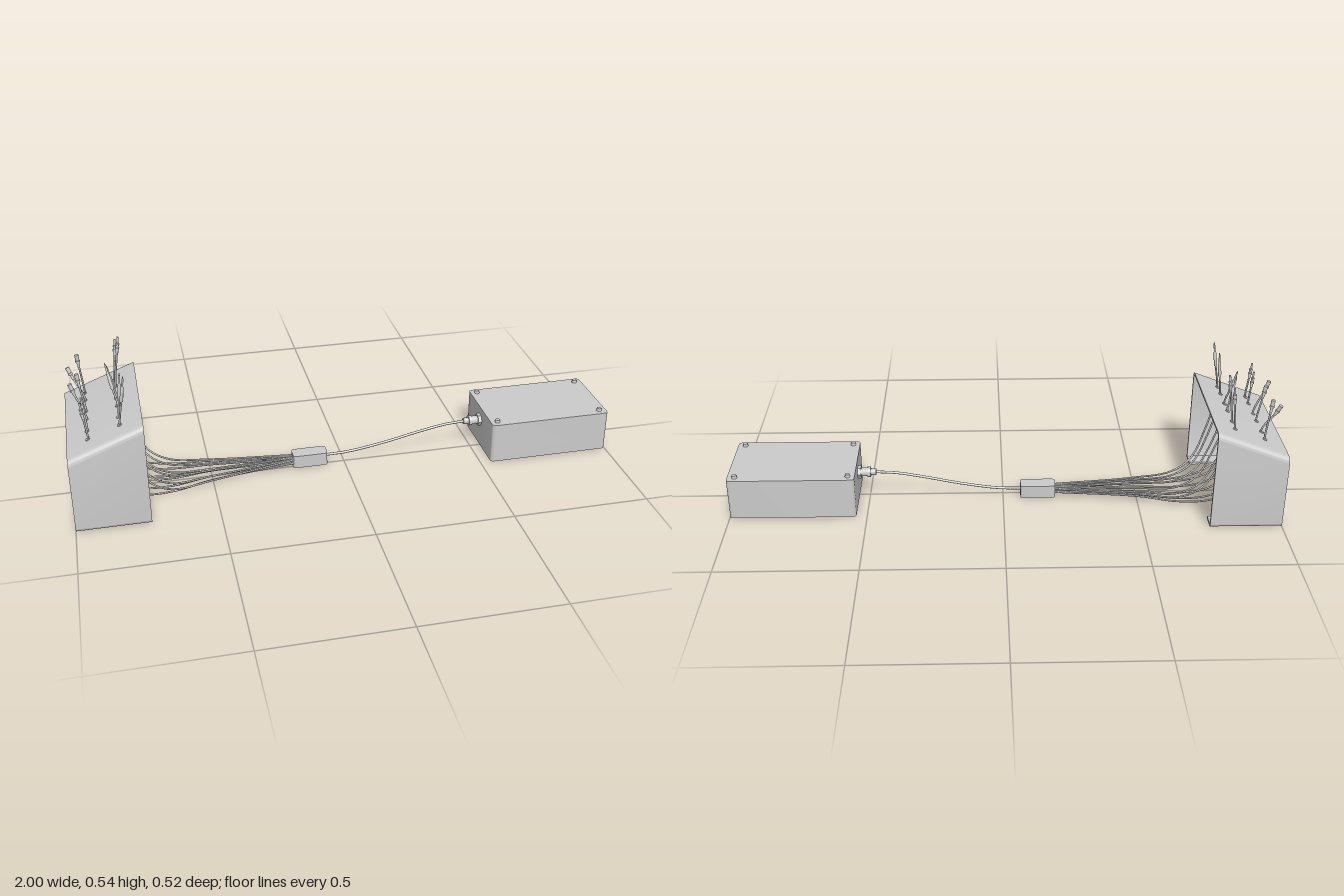
import * as THREE from 'three';
import { toCreasedNormals } from 'three/addons/utils/BufferGeometryUtils.js';

const mat = new THREE.MeshStandardMaterial({ color: 0xcccccc });
const V = (x, y, z) => new THREE.Vector3(x, y, z);
const UP = V(0, 1, 0);
const SLOPE = 0.385; // rise of the panel top along x
const MID_Z = -0.013; // centre line of box, cable and splitter
const topY = x => 0.38 + SLOPE * (x + 0.74);

function add(parent, name, geometry) {
  const m = new THREE.Mesh(geometry, mat);
  m.name = name;
  parent.add(m);
  return m;
}

// Closed shape whose corners [x, y, radius] are rounded
function roundedShape(corners) {
  const s = new THREE.Shape(), n = corners.length;
  corners.forEach(([x, y, r], i) => {
    const p = new THREE.Vector2(x, y);
    const toward = ([a, b]) => new THREE.Vector2(a, b).sub(p).setLength(r).add(p);
    const a = toward(corners[(i + n - 1) % n]), b = toward(corners[(i + 1) % n]);
    if (i) s.lineTo(a.x, a.y); else s.moveTo(a.x, a.y);
    if (r) s.quadraticCurveTo(x, y, b.x, b.y);
  });
  s.closePath();
  return s;
}

const extrude = (shape, depth) =>
  new THREE.ExtrudeGeometry(shape, { depth, bevelEnabled: false, curveSegments: 8 });

// Upright prism over a rounded rectangle
function prism(w, d, h, r) {
  const x = w / 2, y = d / 2;
  const g = extrude(roundedShape([[-x, -y, r], [x, -y, r], [x, y, r], [-x, y, r]]), h);
  return toCreasedNormals(g.rotateX(-Math.PI / 2), 0.6);
}

function tube(points, radius, segments = 40) {
  const curve = new THREE.CatmullRomCurve3(points, false, 'centripetal');
  return new THREE.TubeGeometry(curve, segments, radius, 8);
}

// Bent sheet panel: folded strip with inward feet, its top sheared to a slope
function bracketGeometry() {
  const half = [[0.26, 0.38, 0.024], [0.26, 0, 0.012], [0.2, 0, 0], [0.2, 0.01, 0],
    [0.251, 0.01, 0.004], [0.251, 0.371, 0.016]];
  const other = half.map(([x, y, r]) => [-x, y, r]).reverse();
  const g = extrude(roundedShape([...half, ...other]), 0.26);
  g.rotateY(Math.PI / 2).translate(-1, 0, 0);
  const p = g.attributes.position;
  for (let i = 0; i < p.count; i++)
    if (p.getY(i) > 0.2) p.setY(i, p.getY(i) + SLOPE * (p.getX(i) + 0.74));
  return toCreasedNormals(g, 0.6);
}

// Connector profiles as [radius, height]
const PROFILES = {
  pin: [[0, 0], [0.0055, 0], [0.006, 0.012], [0.0055, 0.05], [0.0035, 0.058],
    [0.003, 0.085], [0.0012, 0.095], [0, 0.097]],
  socket: [[0, 0], [0.0045, 0], [0.0055, 0.018], [0.0085, 0.019], [0.0085, 0.026],
    [0.007, 0.027], [0.0075, 0.048], [0, 0.048]],
  plug: [[0, 0], [0.005, 0], [0.005, 0.012], [0.0075, 0.013], [0.0075, 0.02], [0.0055, 0.021],
    [0.0055, 0.03], [0.007, 0.031], [0.007, 0.036], [0.0035, 0.037], [0.0035, 0.06], [0, 0.06]],
};

// Leads: row (0 = outer, 1 = inner), hole z, tip x y z, end type
const LEADS = [
  [1, 0.17, -0.79, 0.537, 0.177, 'pin'],
  [1, 0.113, -0.80, 0.52, 0.116, 'pin'],
  [1, 0.03, -0.845, 0.503, -0.006, 'pin'],
  [1, -0.028, -0.84, 0.487, -0.018, 'pin'],
  [1, -0.112, -0.79, 0.541, -0.125, 'plug'],
  [1, -0.168, -0.80, 0.512, -0.172, 'plug'],
  [0, 0.17, -0.94, 0.45, 0.172, 'plug'],
  [0, 0.113, -0.935, 0.44, 0.115, 'plug'],
  [0, 0.03, -0.97, 0.447, 0.02, 'socket'],
  [0, -0.028, -0.945, 0.455, -0.036, 'socket'],
  [0, -0.112, -0.977, 0.43, -0.147, 'socket'],
  [0, -0.168, -0.94, 0.465, -0.17, 'socket'],
];

function lead([row, z, tx, ty, tz, type], i) {
  const g = new THREE.Group();
  g.name = 'lead';
  const x = row ? -0.815 : -0.925, y = topY(x);
  const tip = V(tx, ty, tz), profile = PROFILES[type];
  const dir = tip.clone().sub(V(x, y, z)).normalize();
  const base = tip.clone().addScaledVector(dir, -profile[profile.length - 1][1]);
  const at = f => MID_Z + (z - MID_Z) * f + (row ? 0.004 : -0.004);
  const lift = (i % 3) * 0.004;
  // Run from the splitter along the ground and up through the panel
  const sweep = row
    ? [V(-0.5, 0.022 + lift, at(0.4)), V(-0.65, 0.026 + lift, at(0.6)),
      V(-0.725, 0.072 + lift, at(0.7)), V(-0.78, 0.19, at(0.85))]
    : [V(-0.5, 0.014 + lift, at(0.36)), V(-0.65, 0.006 + lift, at(0.54)),
      V(-0.76, 0.022 + lift, at(0.66)), V(-0.85, 0.085, at(0.78)), V(-0.9, 0.18, at(0.89))];
  const path = [V(-0.18, 0.018 + row * 0.014, MID_Z + (z - MID_Z) * 0.1), ...sweep,
    V(x, y - 0.035, z), V(x, y + 0.01, z), base.clone().addScaledVector(dir, 0.004)];
  add(g, 'wire', tube(path, 0.0035, 56));
  const end = add(g, 'leadConnector', toCreasedNormals(
    new THREE.LatheGeometry(profile.map(([r, h]) => new THREE.Vector2(r, h)), 12), 0.6));
  end.position.copy(base);
  end.quaternion.setFromUnitVectors(UP, dir);
  // Grommet through the sheet
  const ring = add(g, 'grommet', new THREE.CylinderGeometry(0.008, 0.008, 0.015, 14));
  ring.position.set(x, y - 0.005, z);
  ring.rotation.z = Math.atan(SLOPE);
  return g;
}

export function createModel() {
  const model = new THREE.Group();
  model.name = 'leadPanelWithBox';

  add(model, 'panelBracket', bracketGeometry());

  const leads = new THREE.Group();
  leads.name = 'leads';
  LEADS.forEach((l, i) => leads.add(lead(l, i)));
  model.add(leads);

  // Splitter block joining all leads
  add(model, 'splitter', prism(0.13, 0.056, 0.05, 0.012)).position.set(-0.13, 0, MID_Z);

  // Main cable
  add(model, 'mainCable', tube([V(-0.07, 0.027, MID_Z), V(0.02, 0.03, MID_Z), V(0.16, 0.052, MID_Z),
    V(0.3, 0.082, MID_Z), V(0.4, 0.1, MID_Z), V(0.485, 0.105, MID_Z)], 0.005));

  // Enclosure with lid screws
  const box = new THREE.Group();
  box.name = 'enclosure';
  add(box, 'enclosureBody', prism(0.46, 0.292, 0.155, 0.014)).position.set(0.77, 0, MID_Z);
  for (const x of [0.565, 0.972])
    for (const s of [-1, 1])
      add(box, 'lidScrew', new THREE.CylinderGeometry(0.008, 0.01, 0.012, 16))
        .position.set(x, 0.16, MID_Z + s * 0.12);

  // Cable connector: [name, x centre, length, radius, sides]
  for (const [name, x, len, r, sides] of [
    ['connectorNut', 0.534, 0.014, 0.024, 6],
    ['connectorBody', 0.515, 0.03, 0.016, 20],
    ['connectorRing', 0.498, 0.012, 0.019, 20],
    ['connectorSleeve', 0.484, 0.024, 0.012, 20],
  ]) {
    const m = add(box, name, toCreasedNormals(new THREE.CylinderGeometry(r, r, len, sides), 0.6));
    m.rotation.z = Math.PI / 2;
    m.position.set(x, 0.105, MID_Z);
  }
  model.add(box);
  return model;
}
